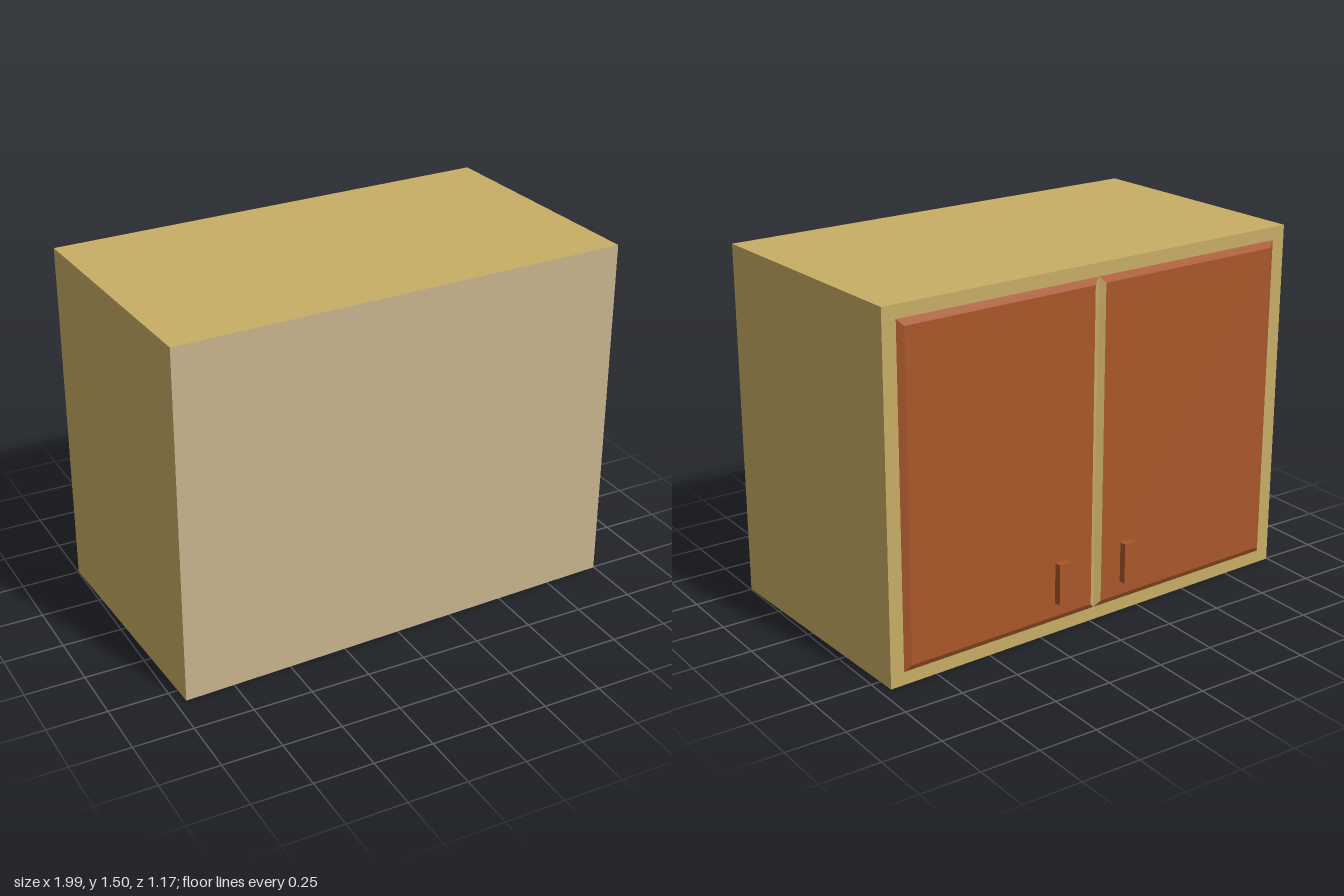
import * as THREE from 'three';

const mat = (name, color) => {
  const m = new THREE.MeshStandardMaterial({ color });
  m.name = name;
  return m;
};

export function createModel() {
  const wood = mat('light wood', 0xc8ad65);
  const panel = mat('pale panel', 0xc8b48e);
  const doorWood = mat('red brown wood', 0xa9572b);

  const W = 1.956, H = 1.5, D = 1.08;
  const margin = 0.06, bevel = 0.026, doorDepth = 0.015;

  const model = new THREE.Group();
  model.name = 'cupboard';
  const cabinet = new THREE.Group();
  cabinet.name = 'cabinet';
  cabinet.rotation.y = 0.037; // stands slightly turned
  model.add(cabinet);

  const add = (name, geometry, material, x, y, z) => {
    const mesh = new THREE.Mesh(geometry, material);
    mesh.name = name;
    mesh.position.set(x, y, z);
    cabinet.add(mesh);
  };

  // Carcass, with a paler panel on its +z face
  add('carcass', new THREE.BoxGeometry(W, H, D), [wood, wood, wood, wood, panel, wood], 0, H / 2, 0);

  // Door slab whose outer face (-z) is drawn in to make bevelled edges
  const doorW = W / 2 - margin, doorH = H - 0.11;
  const doorGeometry = () => {
    const g = new THREE.BoxGeometry(doorW, doorH, doorDepth);
    const p = g.attributes.position;
    for (let i = 0; i < p.count; i++) {
      if (p.getZ(i) > 0) continue;
      p.setX(i, p.getX(i) - Math.sign(p.getX(i)) * bevel);
      p.setY(i, p.getY(i) - Math.sign(p.getY(i)) * bevel);
    }
    g.computeVertexNormals();
    return g;
  };

  // Two doors meeting in a light V-shaped groove, each with a handle
  for (const [side, name, handleX] of [[1, 'left', 0.182], [-1, 'right', -0.152]]) {
    const mats = Array(6).fill(doorWood);
    mats[side > 0 ? 1 : 0] = wood;
    add(name + 'Door', doorGeometry(), mats, side * doorW / 2, H / 2, -D / 2 - doorDepth / 2);
    add(name + 'Handle', new THREE.BoxGeometry(0.054, 0.175, 0.04), doorWood, handleX, 0.227, -D / 2 - 0.025);
  }
  return model;
}
